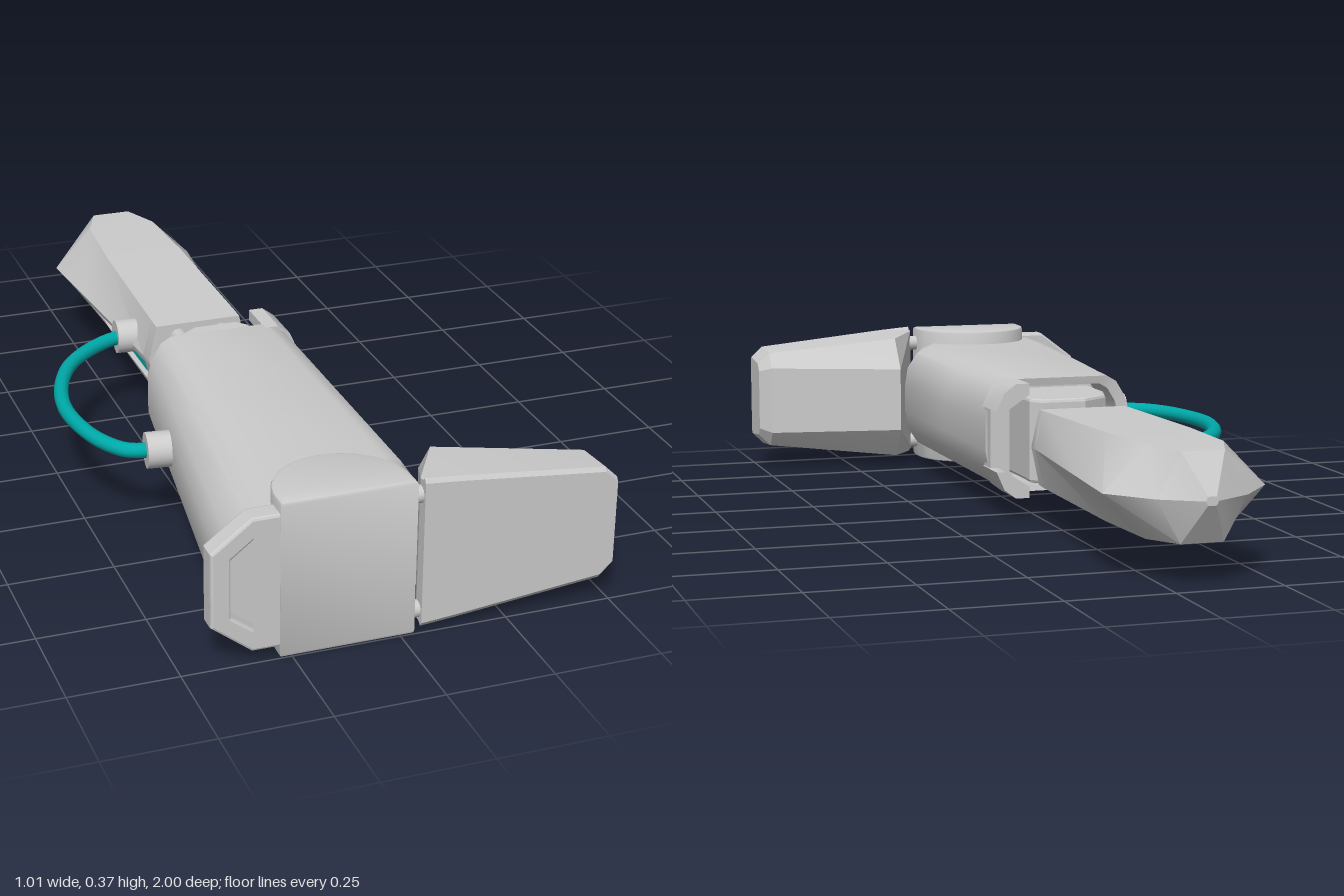
import * as THREE from 'three';
import { toCreasedNormals } from 'three/addons/utils/BufferGeometryUtils.js';

const grey = new THREE.MeshStandardMaterial({ color: 0xcccccc });
const greyOpen = new THREE.MeshStandardMaterial({ color: 0xcccccc, side: THREE.DoubleSide });
const teal = new THREE.MeshStandardMaterial({ color: 0x00aaaa });
const MID = 0.195; // height of the leg's axis

// Skin between matching rings of [x, y, z], capped at both ends; skip(i, j) leaves a hole.
function loft(rings, crease = 0.6, skip = () => false) {
  const n = rings[0].length, tris = [];
  for (let i = 0; i + 1 < rings.length; i++) {
    for (let j = 0; j < n; j++) {
      if (skip(i, j)) continue;
      const k = (j + 1) % n;
      const a = rings[i][j], b = rings[i][k], c = rings[i + 1][k], d = rings[i + 1][j];
      tris.push([a, b, c], [a, c, d]);
    }
  }
  const cap = (ring, flip) => {
    const mid = [0, 1, 2].map((q) => ring.reduce((s, p) => s + p[q], 0) / n);
    ring.forEach((p, j) => {
      const next = ring[(j + 1) % n];
      tris.push(flip ? [mid, next, p] : [mid, p, next]);
    });
  };
  cap(rings[0], true);
  cap(rings[rings.length - 1], false);
  // turn the skin outward if its signed volume is negative
  const v = (p) => new THREE.Vector3(...p);
  const volume = tris.reduce((s, [a, b, c]) => s + v(a).dot(v(b).cross(v(c))), 0);
  if (volume < 0) tris.forEach((t) => t.reverse());
  const geometry = new THREE.BufferGeometry();
  geometry.setAttribute('position', new THREE.Float32BufferAttribute(tris.flat(2), 3));
  return toCreasedNormals(geometry, crease);
}

// Extrusion of a top-view outline [x, z] between two heights.
function slab(points, y0, y1, bevel = 0.008) {
  const shape = new THREE.Shape(points.map(([x, z]) => new THREE.Vector2(x, -z)));
  const g = new THREE.ExtrudeGeometry(shape, {
    depth: y1 - y0 - 2 * bevel, bevelEnabled: true, bevelThickness: bevel,
    bevelSize: bevel, bevelOffset: -bevel, bevelSegments: 2,
  });
  return g.rotateX(-Math.PI / 2).translate(0, y0 + bevel, 0);
}

export function createModel() {
  const leg = new THREE.Group();
  leg.name = 'leg';
  const add = (name, geometry, material = grey) => {
    const mesh = new THREE.Mesh(geometry, material);
    mesh.name = name;
    leg.add(mesh);
    return mesh;
  };
  const rod = (name, radius, from, to, sides = 16) => {
    const a = new THREE.Vector3(...from), b = new THREE.Vector3(...to);
    const mesh = add(name, new THREE.CylinderGeometry(radius, radius, a.distanceTo(b), sides));
    mesh.position.copy(a).add(b).multiplyScalar(0.5);
    mesh.quaternion.setFromUnitVectors(new THREE.Vector3(0, 1, 0), b.sub(a).normalize());
  };

  // Thigh: hexagonal section with a slot in the lower outer chamfer
  const thigh = [ // z, half width, half width of flats, bottom, top
    [-0.16, 0.13, 0.11, 0.1, 0.285], [-0.2, 0.134, 0.11, 0.098, 0.286],
    [-0.62, 0.171, 0.103, 0.091, 0.294], [-0.84, 0.19, 0.09, 0.09, 0.297],
    [-0.945, 0.105, 0.05, 0.095, 0.295], [-1, 0.015, 0.01, 0.185, 0.205],
  ].map(([z, w, t, b, h]) => {
    const along = (f) => [-w + (w - t) * f, MID + (b - MID) * f];
    return [along(0), [-t, h], [t, h], [w, MID], [t, b], along(1), along(0.85), along(0.2)]
      .map(([x, y]) => [x - 0.08, y, z]);
  });
  add('thigh', loft(thigh, 0.5, (i, j) => i === 1 && j === 6), greyOpen);
  add('thighSlotCore', new THREE.BoxGeometry(0.06, 0.07, 0.36).translate(-0.165, 0.17, -0.41), teal);

  // Knee: rods running into a tapered block
  for (const x of [-0.132, -0.018]) {
    for (const y of [0.14, 0.25]) rod('kneeRod', 0.022, [x, y, -0.2], [x, y, -0.06]);
  }
  rod('kneeCentreRod', 0.026, [-0.075, MID, -0.2], [-0.075, MID, -0.06]);
  add('kneeBlock', slab([[-0.2, 0.14], [-0.2, 0.02], [-0.18, -0.05], [-0.11, -0.1],
    [0, -0.1], [0.025, -0.07], [0.025, 0.14]], 0.09, 0.3));

  // Shin: rounded section, recessed around the knee and widening to the heel
  const shinRing = (z, x0, x1, flare, scale = 1) => {
    const upper = [[x0, 0.05], [x0 + 0.012 + flare * 0.1, 0.09], [x0 + 0.035 + flare * 0.3, 0.128],
      [x0 + 0.06 + flare * 0.5, 0.1425], [x1 - 0.075, 0.1425], [x1 - 0.035, 0.125],
      [x1 - 0.008, 0.085], [x1, 0.035]];
    const mid = (x0 + x1) / 2;
    return [...upper, ...upper.slice().reverse().map(([x, y]) => [x, -y])]
      .map(([x, y]) => [mid + (x - mid) * scale, MID + y * scale, z]);
  };
  add('shin', loft([
    shinRing(0.15, -0.27, 0.11, 0, 0.84), shinRing(0.03, -0.27, 0.11, 0, 0.86),
    shinRing(0.025, -0.27, 0.11, 0), shinRing(0.4, -0.323, 0.11, 0.03),
    shinRing(0.8, -0.379, 0.11, 0.08), shinRing(0.96, -0.4, 0.045, 0.1),
  ]));

  // Knee guard: a pair of mirrored tabs at the inner side
  for (const s of [-1, 1]) {
    const tab = [[0.025, 0.1425], [0.06, 0.1425], [0.09, 0.12], [0.11, 0.075], [0.085, 0.075], [0.025, 0.115]];
    add('kneeGuard', loft([-0.07, 0.05].map((z) => tab.map(([x, y]) => [x, MID + s * y, z]))));
  }
  add('kneeGuardWeb', new THREE.BoxGeometry(0.05, 0.17, 0.05).translate(0.08, MID, 0.025));

  // Ankle: D-shaped block with a flat front
  const arc = Array.from({ length: 25 }, (_, i) => {
    const a = Math.PI * i / 24;
    return [-0.123 - 0.155 * Math.cos(a), 0.962 - 0.155 * Math.sin(a)];
  });
  add('ankle', toCreasedNormals(slab([[-0.278, 1], ...arc, [0.032, 1]].reverse(), 0.002, 0.374), 0.5));

  // Heel: angular loop
  const loop = (pts) => pts.map(([x, y]) => new THREE.Vector2(x, y));
  const heel = new THREE.Shape(loop([[-0.25, 0.03], [-0.25, 0.348], [-0.34, 0.348],
    [-0.432, 0.278], [-0.432, 0.102], [-0.34, 0.03]]));
  heel.holes.push(new THREE.Path(loop([[-0.26, 0.065], [-0.312, 0.065], [-0.386, 0.12],
    [-0.386, 0.258], [-0.312, 0.315], [-0.26, 0.315]])));
  add('heelLoop', new THREE.ExtrudeGeometry(heel, {
    depth: 0.04, bevelThickness: 0.007, bevelSize: 0.006, bevelOffset: -0.006, bevelSegments: 2,
  }).translate(0, 0, 0.952));

  // Foot: wedge with chamfered back edges, tapering to the toe
  const foot = [ // x, back z, chamfer z, half height at front, half height at back
    [0.048, 0.97, 0.985, 0.18, 0.17], [0.13, 0.77, 0.83, 0.173, 0.085],
    [0.475, 0.858, 0.89, 0.137, 0.09], [0.505, 0.888, 0.905, 0.108, 0.08],
  ].map(([x, back, edge, h, hb]) => [[back, hb], [edge, h - 0.008], [0.993, h], [1, h - 0.01],
    [1, -h + 0.01], [0.993, -h], [edge, -h + 0.008], [back, -hb]].map(([z, y]) => [x, MID + y, z]));
  add('foot', loft(foot, 0.35));
  for (const y of [0.05, 0.33]) rod('toeHinge', 0.02, [0, y, 0.975], [0.06, y, 0.975]);

  // Hose and its two sockets
  const path = [[-0.22, -0.31], [-0.26, -0.305], [-0.33, -0.265], [-0.405, -0.19], [-0.46, -0.08],
    [-0.488, 0.05], [-0.482, 0.16], [-0.455, 0.26], [-0.41, 0.325], [-0.34, 0.345]];
  const curve = new THREE.CatmullRomCurve3(path.map(([x, z]) => new THREE.Vector3(x, 0.203, z)));
  add('hose', new THREE.TubeGeometry(curve, 48, 0.018, 12), teal);
  rod('hoseSocket', 0.043, [-0.253, 0.203, -0.315], [-0.18, 0.203, -0.31], 20);
  rod('hoseSocket', 0.043, [-0.372, 0.203, 0.34], [-0.29, 0.203, 0.35], 20);

  return leg;
}
